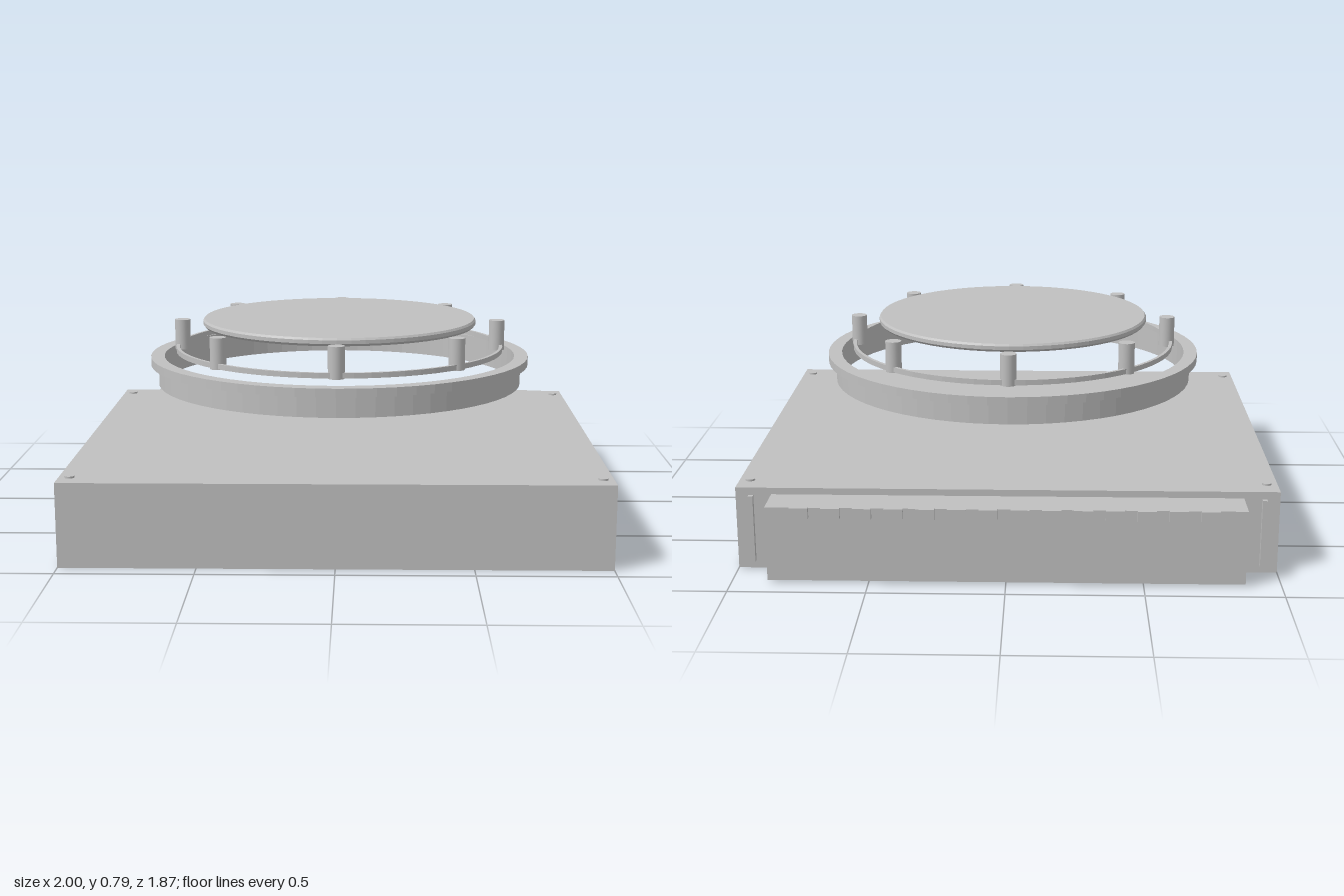
import * as THREE from 'three';

const grey = new THREE.MeshStandardMaterial({ color: 0xc0c0c0 });
grey.name = 'light grey';

export function createModel() {
  const model = new THREE.Group();
  const SEG = 64;
  const CZ = 0.08; // z of the round assembly's axis

  const add = (name, geometry, x, y, z, parent = model) => {
    const mesh = new THREE.Mesh(geometry, grey);
    mesh.name = name;
    mesh.position.set(x, y, z);
    parent.add(mesh);
    return mesh;
  };
  // Box given by its limits
  const box = (name, x0, x1, y0, y1, z0, z1) =>
    add(name, new THREE.BoxGeometry(x1 - x0, y1 - y0, z1 - z0), (x0 + x1) / 2, (y0 + y1) / 2, (z0 + z1) / 2);
  // Turned part from [radius, y] points, with crisp facets
  const turned = (name, points) => {
    const g = new THREE.LatheGeometry(points.map(([r, y]) => new THREE.Vector2(r, y)), SEG).toNonIndexed();
    g.computeVertexNormals();
    return add(name, g, 0, 0, CZ);
  };

  // Main housing and rear terminal block
  box('body', -1, 1, 0, 0.315, -0.77, 0.933);
  box('rearBlock', -0.868, 0.868, 0.01, 0.29, -0.912, -0.77);

  // Row of small tabs behind the rear block
  for (let i = 0; i < 14; i++) {
    const x = 0.005 + (i - 6.5) * 0.1135;
    box('rearTab', x - 0.034, x + 0.034, 0.255, 0.295, -0.935, -0.917);
  }

  // Upright strips beside the block and low studs at the corners
  for (const s of [-1, 1]) {
    const x = s * 0.943;
    box('rearStrip', x - 0.009, x + 0.009, 0.03, 0.287, -0.79, -0.77);
    for (const z of [0.853, -0.683]) {
      add('cornerStud', new THREE.CylinderGeometry(0.018, 0.018, 0.01, 20), s * 0.96, 0.317, z);
    }
  }

  // Flanged open collar
  turned('collar', [
    [0.703, 0.528], [0.727, 0.528], [0.727, 0.608], [0.757, 0.608],
    [0.757, 0.641], [0.703, 0.641], [0.703, 0.528],
  ]);

  // Thin sealing ring
  turned('sealRing', [[0.642, 0.658], [0.655, 0.658], [0.655, 0.678], [0.642, 0.678], [0.642, 0.658]]);

  // Eight pins around the ring
  for (let i = 0; i < 8; i++) {
    const a = (i * Math.PI) / 4;
    add('pin', new THREE.CylinderGeometry(0.031, 0.031, 0.12, 24), 0.633 * Math.cos(a), 0.715, CZ + 0.633 * Math.sin(a));
  }

  // Top disc with softened rim
  turned('topDisc', [
    [0, 0.757], [0.538, 0.757], [0.546, 0.766], [0.546, 0.78], [0.54, 0.788], [0, 0.788],
  ]);

  return model;
}
